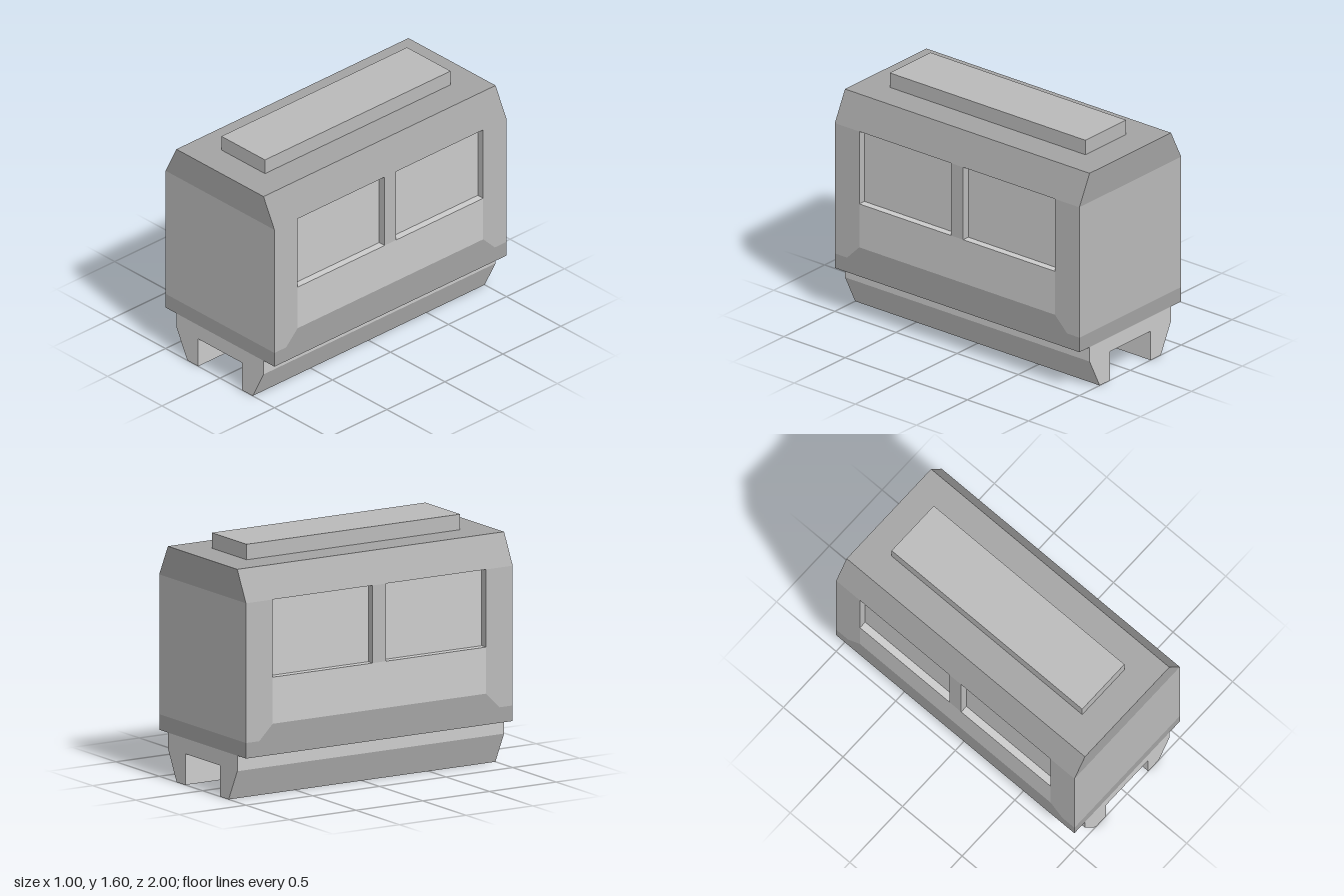
import * as THREE from 'three';

const paint = (color) => new THREE.MeshStandardMaterial({ color, flatShading: true });

export function createModel() {
  const model = new THREE.Group();
  model.name = 'railCar';
  const grey = paint(0xcccccc);
  const bodyGrey = paint(0xbababa);
  const trimGrey = paint(0xa3a3a3);
  const panelGrey = paint(0xe6e6e6);

  const add = (parent, name, geometry, material) => {
    const mesh = new THREE.Mesh(geometry, material);
    mesh.name = name;
    parent.add(mesh);
    return mesh;
  };
  const box = (w, h, d, x, y, z) => new THREE.BoxGeometry(w, h, d).translate(x, y, z);
  const extrude = (points, depth) => new THREE.ExtrudeGeometry(
    new THREE.Shape(points.map(([a, b]) => new THREE.Vector2(a, b))),
    { depth, bevelEnabled: false });

  // Outlines in x and y, drawn along the whole length
  const lengthwise = (points) => extrude(points, 2).translate(0, 0, -1);
  add(model, 'chassis', lengthwise([
    [-0.4, 0.3], [-0.4, 0.2], [-0.3, 0], [-0.2, 0], [-0.2, 0.2],
    [0.2, 0.2], [0.2, 0], [0.3, 0], [0.4, 0.2], [0.4, 0.3],
  ]), grey);
  add(model, 'roof', lengthwise([[-0.5, 1.3], [0.5, 1.3], [0.4, 1.5], [-0.4, 1.5]]), trimGrey);
  add(model, 'roofVent', box(0.4, 0.1, 1.6, 0, 1.55, 0), bodyGrey);

  // Core between the two side walls
  const inner = 0.44;
  add(model, 'floor', box(inner * 2, 0.1, 2, 0, 0.35, 0), trimGrey);
  add(model, 'bodyCore', box(inner * 2, 0.9, 2, 0, 0.85, 0), bodyGrey);

  // Side walls: outlines in z and y, given thickness along x
  const wall = (points) => extrude(points, 0.5 - inner).rotateY(Math.PI / 2).translate(inner, 0, 0);
  for (const [side, turn] of [['left', 0], ['right', Math.PI]]) {
    const group = new THREE.Group();
    group.name = `${side}Side`;
    group.rotation.y = turn;
    model.add(group);

    add(group, 'skirt', wall([
      [-1, 0.3], [1, 0.3], [1, 0.4], [0.9, 0.4], [0.8, 0.5],
      [-0.8, 0.5], [-0.9, 0.4], [-1, 0.4],
    ]), trimGrey);
    add(group, 'lowerPanel', wall([[-0.8, 0.5], [0.8, 0.5], [0.8, 0.8], [-0.8, 0.8]]), panelGrey);
    add(group, 'middlePillar', wall([[-0.05, 0.8], [0.05, 0.8], [0.05, 1.3], [-0.05, 1.3]]), bodyGrey);

    for (const s of [-1, 1]) {
      // End post with its chamfered foot, and the recessed pane beside it
      add(group, 'endPost', wall([
        [s, 0.4], [s * 0.9, 0.4], [s * 0.8, 0.5], [s * 0.8, 1.3], [s, 1.3],
      ]), bodyGrey);
      add(group, 'windowPane', box(0.02, 0.5, 0.75, 0.44, 1.05, s * 0.425), grey);
    }
  }
  return model;
}
